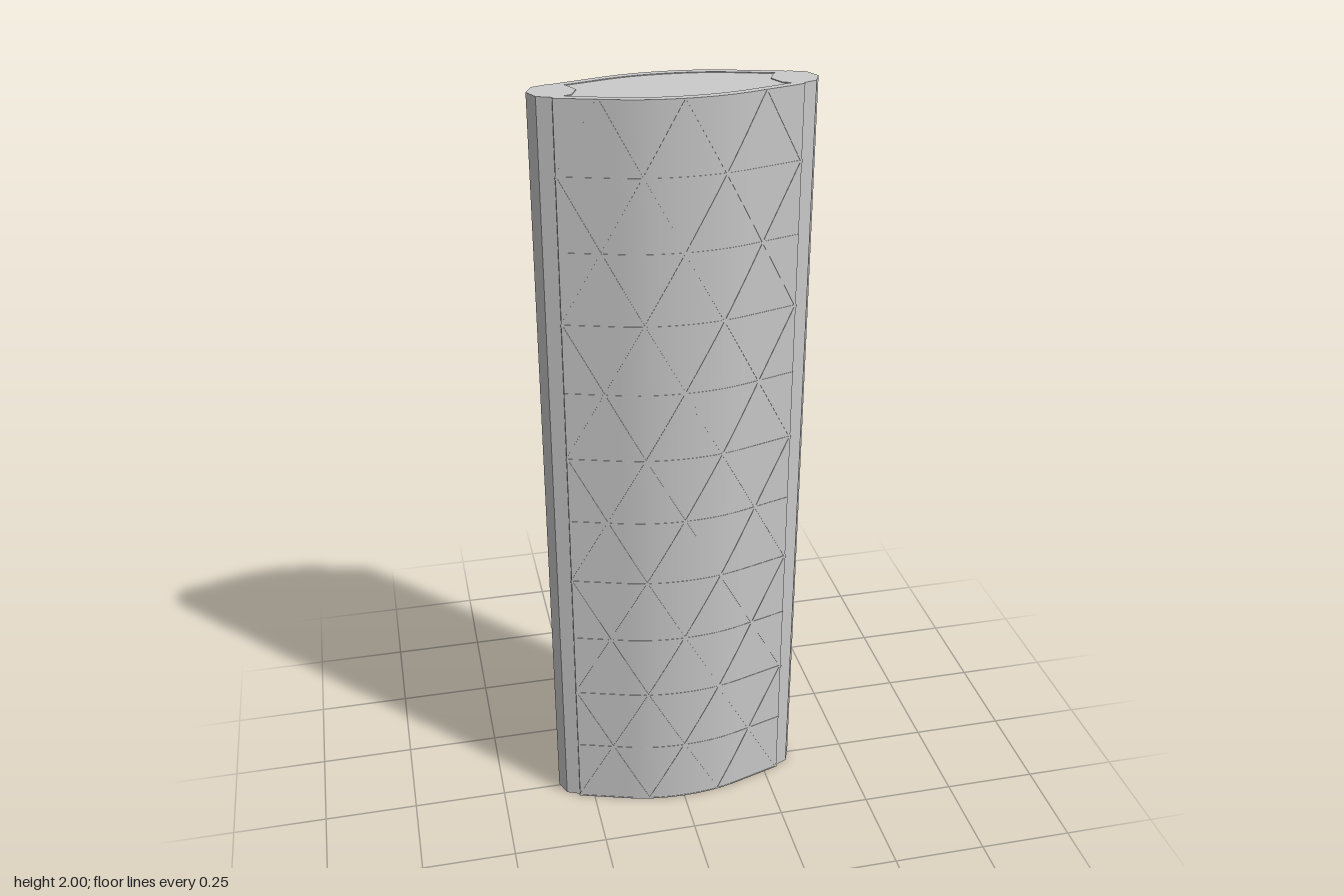
import * as THREE from 'three';
import { toCreasedNormals } from 'three/addons/utils/BufferGeometryUtils.js';

const H = 2, END = 0.29, SKIN = 0.02;
const material = new THREE.MeshStandardMaterial({ color: 0xcccccc, side: THREE.DoubleSide });
const flat = new THREE.MeshStandardMaterial({ color: 0xcccccc, flatShading: true });

// Curved cross-section of one face, from the right edge to the left edge
const half = [[0.07, 0.116], [0.13, 0.105], [0.2, 0.084], [END, 0.056]];
const section = new THREE.SplineCurve([
  ...half.map(([x, z]) => new THREE.Vector2(-x, z)).reverse(),
  new THREE.Vector2(0, 0.12),
  ...half.map(([x, z]) => new THREE.Vector2(x, z)),
]);
const outer = section.getPoints(32);
const inner = outer.map((p) => new THREE.Vector2(p.x, p.y - SKIN));

// Upright extrusion of a plan outline, with the end faces shaded as insides
function upright(points, y0, y1) {
  let g = new THREE.ExtrudeGeometry(new THREE.Shape(points), { depth: y1 - y0, bevelEnabled: false });
  g.rotateX(-Math.PI / 2).translate(0, y0, 0);
  g = toCreasedNormals(g, 0.6);
  const n = g.attributes.normal;
  for (let i = 0; i < n.count; i++) if (Math.abs(n.getY(i)) > 0.9) n.setY(i, -n.getY(i));
  return g;
}

function add(parent, name, geometry, mat = material) {
  const mesh = new THREE.Mesh(geometry, mat);
  mesh.name = name;
  parent.add(mesh);
  return mesh;
}

// Thin rib following the curved face between two points (u along the section, y up)
function rib(u0, y0, u1, y1) {
  const steps = 8, width = 0.006, lift = 0.0012;
  const pos = [], index = [];
  for (let i = 0; i <= steps; i++) {
    const t = i / steps;
    const u = THREE.MathUtils.lerp(u0, u1, t), y = THREE.MathUtils.lerp(y0, y1, t);
    const p = section.getPointAt(u), tan = section.getTangentAt(u);
    const along = new THREE.Vector3(tan.x, 0, tan.y);
    const out = new THREE.Vector3(-tan.y, 0, tan.x);
    const dir = along.clone().multiplyScalar((u1 - u0) * section.getLength());
    dir.y = y1 - y0;
    const side = out.clone().cross(dir).normalize().multiplyScalar(width / 2);
    const c = new THREE.Vector3(p.x, y, p.y);
    for (const [s, h] of [[-1, -0.004], [-1, lift], [1, lift], [1, -0.004]]) {
      const v = c.clone().addScaledVector(side, s).addScaledVector(out, h);
      pos.push(v.x, THREE.MathUtils.clamp(v.y, 0, H), v.z);
    }
    if (i) for (let k = 0; k < 3; k++) {
      const a = (i - 1) * 4 + k, b = a + 4;
      index.push(a, b, a + 1, a + 1, b, b + 1);
    }
  }
  const g = new THREE.BufferGeometry();
  g.setAttribute('position', new THREE.Float32BufferAttribute(pos, 3));
  g.setIndex(index);
  const sharp = g.toNonIndexed();
  sharp.computeVertexNormals();
  return sharp;
}

// Triangular lattice of ribs over one face
function lattice() {
  const group = new THREE.Group();
  group.name = 'ribLattice';
  const rows = 11, rise = H / rows, cell = 1 / 3;
  for (let r = 0; r <= rows; r++) {
    add(group, 'horizontalRib', rib(0, r * rise, 0.5, r * rise));
    add(group, 'horizontalRib', rib(0.5, r * rise, 1, r * rise));
    if (r === rows) break;
    const y = r * rise;
    for (let i = 0; i <= 6; i++) {
      // Zigzag: each step climbs or falls by one row
      const up = (i + r) % 2 === 0;
      const u0 = i * cell / 2, u1 = u0 + cell / 2;
      if (u1 < 1.001) add(group, 'diagonalRib', rib(u0, up ? y : y + rise, Math.min(u1, 1), up ? y + rise : y));
    }
  }
  return group;
}

export function createModel() {
  const model = new THREE.Group();
  model.name = 'ribbedPanel';

  // Front and back skins with their ribs
  const band = upright([...outer.map((p) => new THREE.Vector2(p.x, -p.y)),
    ...inner.map((p) => new THREE.Vector2(p.x, -p.y)).reverse()], 0, H);
  for (const [name, turn] of [['frontFace', 0], ['backFace', Math.PI]]) {
    const face = new THREE.Group();
    face.name = name;
    face.rotation.y = turn;
    add(face, 'skin', band);
    face.add(lattice());
    model.add(face);
  }

  // Core filling the space between the skins
  const lens = [...inner.map((p) => new THREE.Vector2(p.x, -p.y)),
    ...inner.map((p) => new THREE.Vector2(p.x, p.y)).reverse()];
  add(model, 'core', upright(lens, 0.004, H - 0.002));

  // Eight-sided edge posts
  for (const [name, s] of [['leftPost', 1], ['rightPost', -1]]) {
    const post = add(model, name, new THREE.CylinderGeometry(0.057, 0.057, H, 8), flat);
    post.position.set(s * 0.284, H / 2, -0.005);
  }

  // Square plate under the core
  const plate = add(model, 'bottomPlate', new THREE.BoxGeometry(0.155, 0.02, 0.14), flat);
  plate.position.y = 0.01;
  return model;
}
